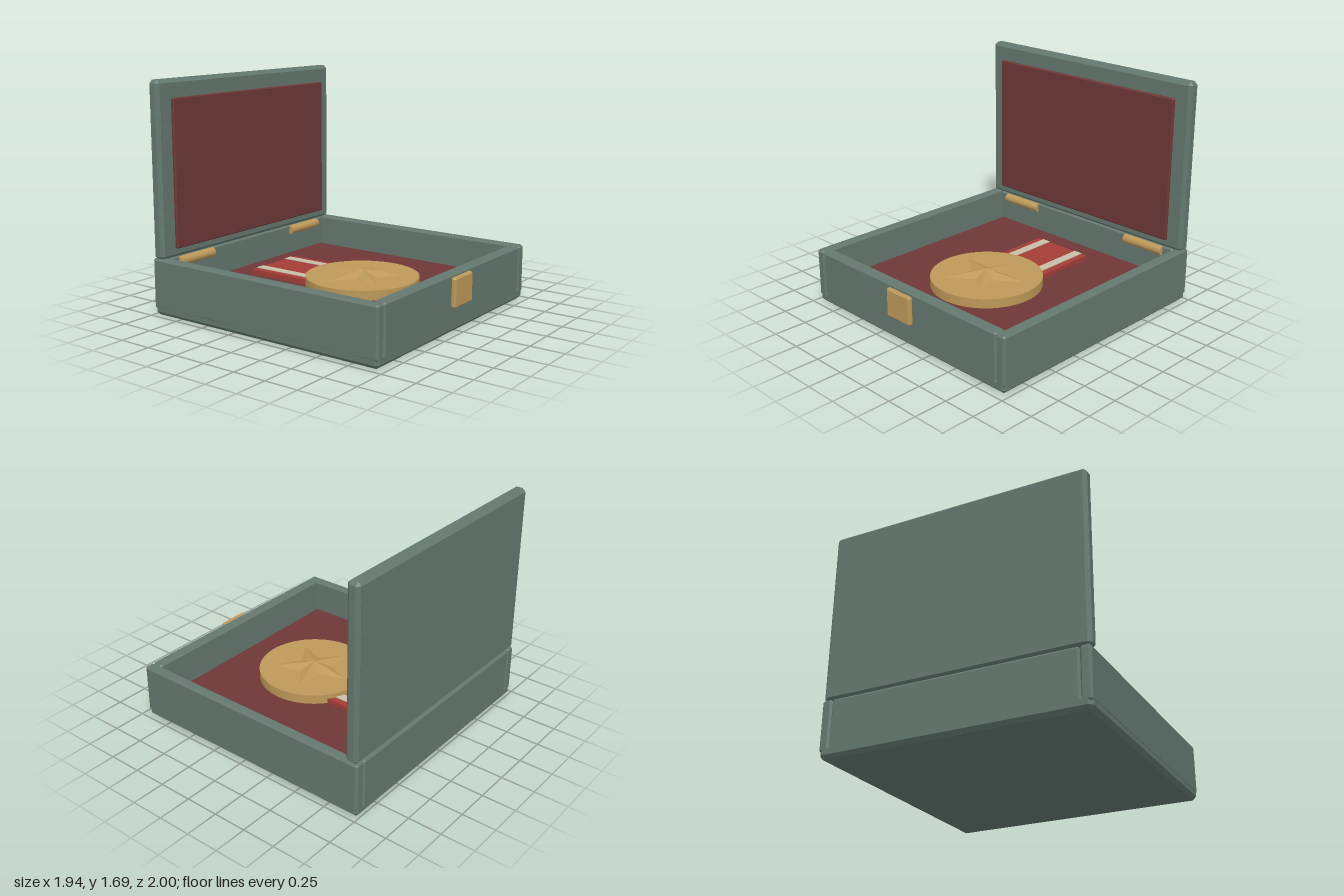
import * as THREE from 'three';
import { ConvexGeometry } from 'three/addons/geometries/ConvexGeometry.js';

const material = (name, color) => {
  const m = new THREE.MeshStandardMaterial({ color });
  m.name = name;
  return m;
};

// Box with chamfered edges, given by its min and max corners
function chamferBox(min, max, c) {
  const mid = min.map((v, i) => (v + max[i]) / 2);
  const half = min.map((v, i) => (max[i] - v) / 2);
  const points = [];
  for (const sx of [-1, 1]) for (const sy of [-1, 1]) for (const sz of [-1, 1]) {
    const s = [sx, sy, sz];
    for (let full = 0; full < 3; full++) {
      points.push(new THREE.Vector3(...s.map((k, i) => mid[i] + k * (half[i] - (i === full ? 0 : c)))));
    }
  }
  return new ConvexGeometry(points);
}

// Five-pointed faceted star rising to an apex, lying in the xz plane
function starGeometry(outer, inner, height) {
  const rim = [];
  for (let i = 0; i < 10; i++) {
    const a = (i * Math.PI) / 5;
    const r = i % 2 ? inner : outer;
    rim.push([Math.sin(a) * r, 0, -Math.cos(a) * r]);
  }
  const positions = [];
  rim.forEach((p, i) => positions.push(0, height, 0, ...rim[(i + 1) % 10], ...p));
  const g = new THREE.BufferGeometry();
  g.setAttribute('position', new THREE.Float32BufferAttribute(positions, 3));
  g.computeVertexNormals();
  return g;
}

export function createModel() {
  const green = material('green case', 0x64786f);
  const maroon = material('maroon velvet', 0x6e3737);
  const gold = material('gold', 0xbd9858);
  const red = material('red ribbon', 0xa43c36);
  const cream = material('cream stripe', 0xc6bfa8);

  const model = new THREE.Group();
  model.name = 'medalCase';
  const add = (name, geometry, mat, x = 0, y = 0, z = 0) => {
    const mesh = new THREE.Mesh(geometry, mat);
    mesh.name = name;
    mesh.position.set(x, y, z);
    model.add(mesh);
    return mesh;
  };
  const addBox = (name, min, max, c, mat) => add(name, chamferBox(min, max, c), mat);

  // Case: floor slab and four walls
  addBox('floor', [-0.97, 0, -0.995], [0.97, 0.1, 0.953], 0.027, green);
  addBox('frontWall', [-0.895, 0.05, 0.865], [0.895, 0.418, 0.953], 0.015, green);
  addBox('backWall', [-0.895, 0.05, -0.995], [0.895, 0.415, -0.9], 0.015, green);
  for (const s of [-1, 1]) {
    const [a, b] = s < 0 ? [-0.972, -0.895] : [0.895, 0.972];
    addBox(s < 0 ? 'rightWall' : 'leftWall', [a, 0.05, -0.995], [b, 0.418, 0.953], 0.015, green);
  }

  // Open lid with its lining
  addBox('lid', [-0.972, 0.41, -0.99], [0.972, 1.69, -0.893], 0.025, green);
  addBox('lidLining', [-0.85, 0.48, -0.893], [0.85, 1.56, -0.863], 0.008, maroon);

  // Cushion in the case
  addBox('cushion', [-0.85, 0.08, -0.89], [0.85, 0.195, 0.82], 0.01, maroon);

  // Clasp and hinges
  addBox('clasp', [-0.12, 0.19, 0.96], [0.12, 0.405, 1.0], 0.012, gold);
  for (const s of [-1, 1]) {
    const hinge = add(s < 0 ? 'rightHinge' : 'leftHinge',
      new THREE.CylinderGeometry(0.035, 0.035, 0.35, 24), gold, s * 0.63, 0.375, -0.9);
    hinge.rotation.z = Math.PI / 2;
  }

  // Ribbon with two stripes
  add('ribbon', new THREE.BoxGeometry(0.5, 0.035, 0.735), red, 0, 0.2125, -0.3175);
  for (const s of [-1, 1]) {
    add('ribbonStripe', new THREE.BoxGeometry(0.068, 0.006, 0.735), cream, s * 0.166, 0.232, -0.3175);
  }

  // Medal disc with raised star
  add('medalDisc', new THREE.CylinderGeometry(0.415, 0.415, 0.07, 64), gold, 0, 0.23, 0.152);
  add('medalStar', starGeometry(0.303, 0.122, 0.045), gold, 0, 0.266, 0.152);

  return model;
}
